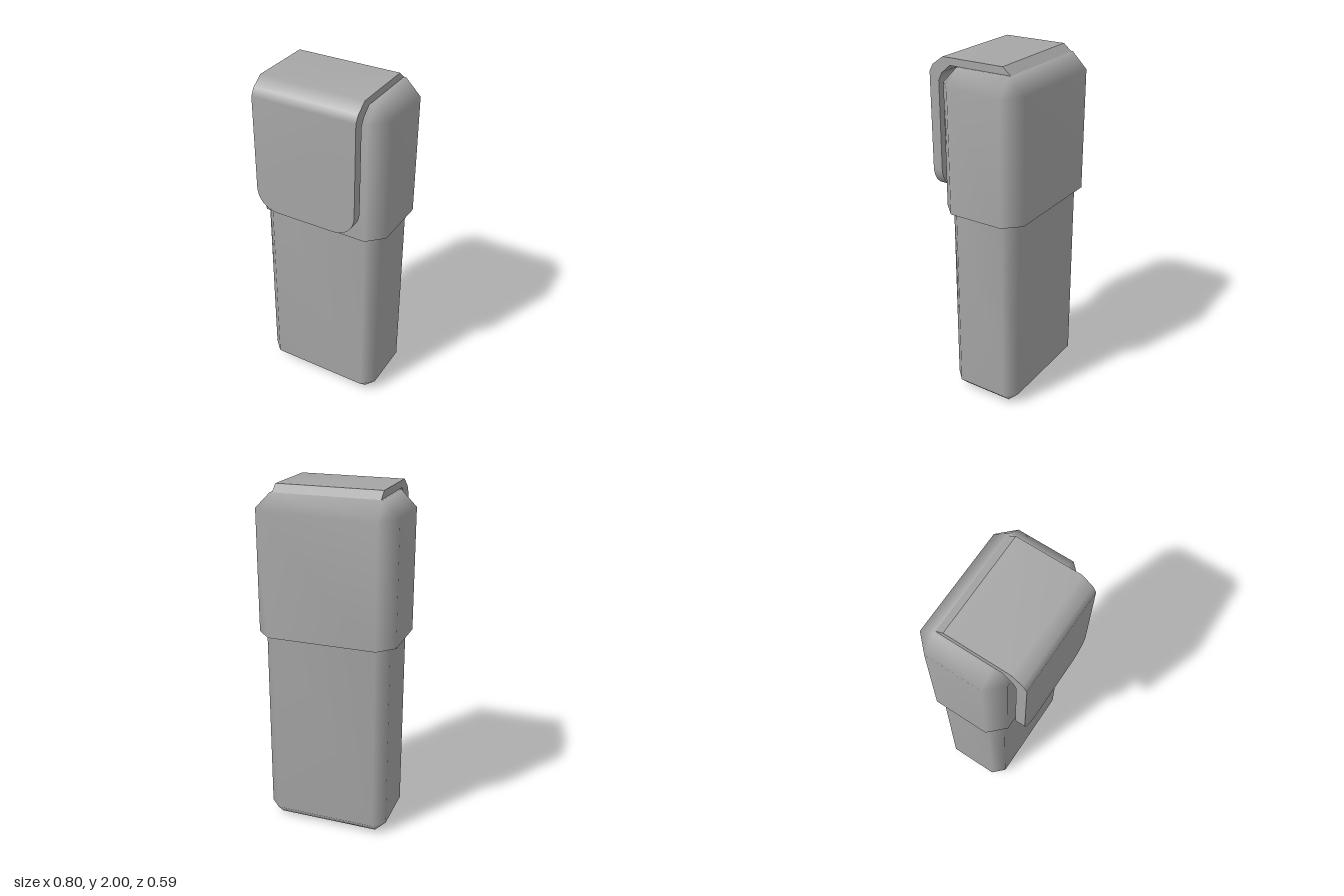
import * as THREE from 'three';
import { mergeVertices, mergeGeometries } from 'three/addons/utils/BufferGeometryUtils.js';

// Smooth surface from a list of triangles given as corner points
function smooth(tris) {
  const g = new THREE.BufferGeometry();
  g.setAttribute('position', new THREE.Float32BufferAttribute(tris.flat(), 3));
  const merged = mergeVertices(g, 1e-4);
  merged.computeVertexNormals();
  return merged;
}

// Triangles between two rows of points
function strip(a, b) {
  const t = [];
  for (let i = 0; i < a.length - 1; i++) t.push(a[i], b[i], b[i + 1], a[i], b[i + 1], a[i + 1]);
  return t;
}

// Block with chamfered uprights and a chamfered top; its flat base is sharp-edged
function chamferedBlock(hx, hz, h, c) {
  const ring = (y, inset) => {
    const x = hx - inset, z = hz - inset, k = c - inset;
    const pts = [
      [x, y, -z + k], [x, y, z - k], [x - k, y, z], [-x + k, y, z],
      [-x, y, z - k], [-x, y, -z + k], [-x + k, y, -z], [x - k, y, -z],
    ];
    return [...pts, pts[0]];
  };
  const base = ring(0, 0), shoulder = ring(h - c, 0), top = ring(h, c);
  const lid = [top[0], top[4], top[2], top[0], top[6], top[4]];
  const floor = [];
  for (let i = 1; i < 7; i++) floor.push(base[0], base[i], base[i + 1]);
  return mergeGeometries([
    smooth([...strip(base, shoulder), ...strip(shoulder, top), ...lid]),
    smooth(floor),
  ]);
}

// Bent strap: stations of [outer z, outer y, inner z, inner y, half width]
function clipGeometry() {
  const stations = [
    [-0.16, 2, -0.207, 1.96, 0.3],
    [0.21, 2, 0.164, 1.96, 0.3],
    [0.275, 1.953, 0.217, 1.915, 0.3],
    [0.297, 1.913, 0.239, 1.872, 0.3],
  ];
  const r = 0.125;
  for (let i = 0; i <= 8; i++) {
    const t = (i / 8) * Math.PI / 2;
    const y = 1.25 + r - r * Math.sin(t);
    stations.push([0.297, y, 0.239, y, 0.3 - r + r * Math.cos(t)]);
  }
  const oL = stations.map(s => [s[4], s[1], s[0]]);
  const oR = stations.map(s => [-s[4], s[1], s[0]]);
  const iL = stations.map(s => [s[4], s[3], s[2]]);
  const iR = stations.map(s => [-s[4], s[3], s[2]]);
  const n = stations.length - 1;
  return mergeGeometries([
    strip(oL, oR), strip(iR, iL), strip(iL, oL), strip(oR, iR),
    strip([oR[0], iR[0]], [oL[0], iL[0]]),
    strip([oL[n], iL[n]], [oR[n], iR[n]]),
  ].map(smooth));
}

export function createModel() {
  const model = new THREE.Group();
  const grey = new THREE.MeshStandardMaterial({ color: 0xa6a6a6 });
  grey.name = 'grey';

  const add = (name, geometry) => {
    const mesh = new THREE.Mesh(geometry, grey);
    mesh.name = name;
    model.add(mesh);
    return mesh;
  };

  // Lower case, turned over so its chamfered end is at the bottom
  const body = add('body', chamferedBlock(0.362, 0.213, 1.3, 0.065));
  body.rotation.x = Math.PI;
  body.position.set(0, 1.3, -0.045);

  // Wider cap over the upper end
  add('cap', chamferedBlock(0.4, 0.249, 0.784, 0.088)).position.set(0, 1.176, -0.048);

  // Clip over the top and down the front
  add('clip', clipGeometry());
  return model;
}
